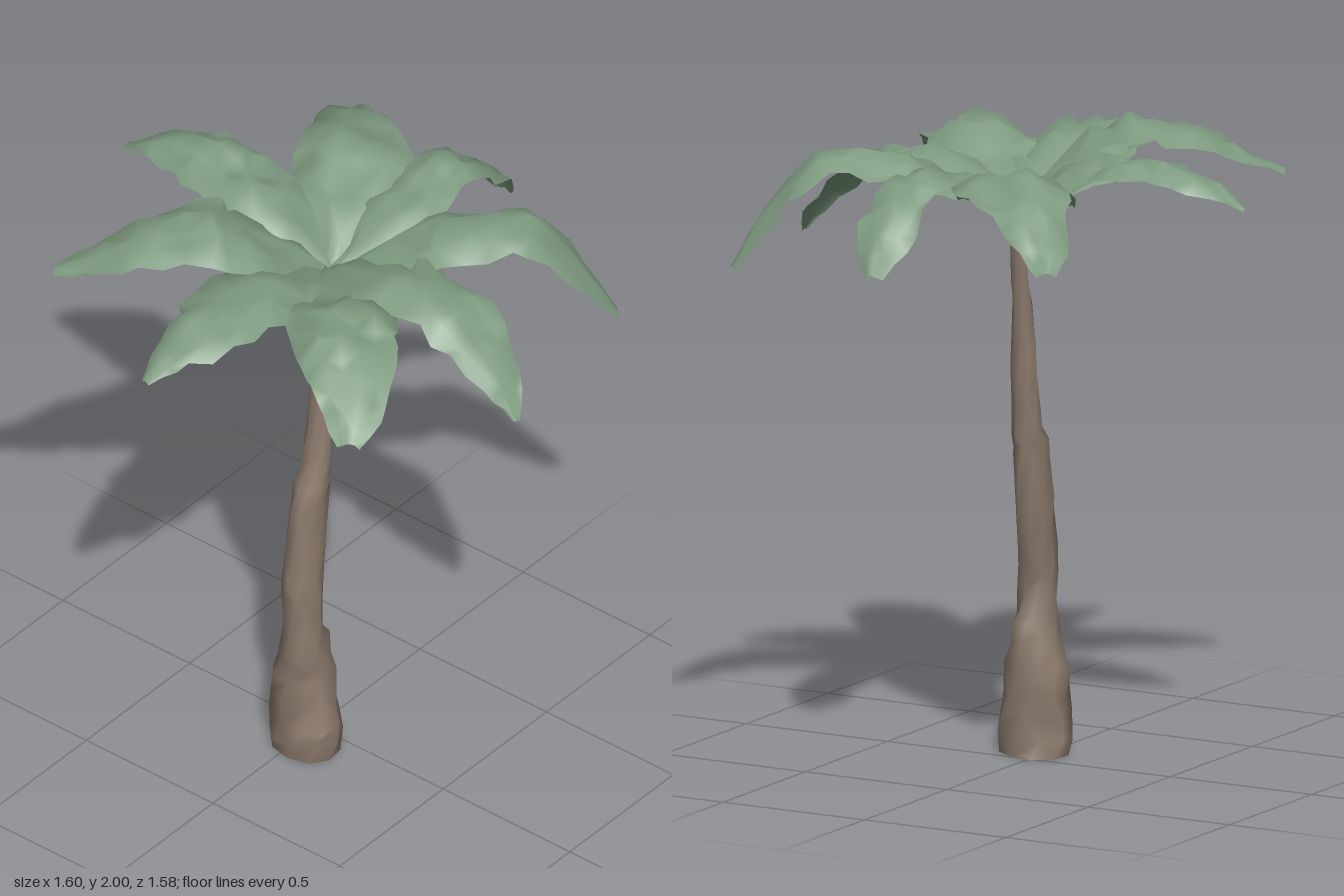
import * as THREE from 'three';

// Small seeded random in -1..1 for the crumpled surfaces
function makeRandom(seed) {
  let s = seed;
  return () => {
    s = (s * 16807) % 2147483647;
    return (s / 2147483647) * 2 - 1;
  };
}

// Skin a grid of points; rows run along the part, columns run across it
function skin(rows, closed) {
  const n = rows[0].length;
  const index = [];
  for (let i = 0; i < rows.length - 1; i++) {
    for (let j = 0; j < (closed ? n : n - 1); j++) {
      const k = (j + 1) % n;
      const a = i * n + j, b = i * n + k, c = a + n, d = b + n;
      if ((i + j) % 2) index.push(a, b, c, b, d, c);
      else index.push(a, b, d, a, d, c);
    }
  }
  const geometry = new THREE.BufferGeometry().setFromPoints(rows.flat());
  geometry.setIndex(index);
  geometry.computeVertexNormals();
  return geometry;
}

// Smooth curves through [x, y, z, a, b]: position plus two extra values
function pathOf(points) {
  const curve = (list) => new THREE.CatmullRomCurve3(list, false, 'catmullrom', 0.5);
  return {
    centre: curve(points.map((p) => new THREE.Vector3(p[0], p[1], p[2]))),
    size: curve(points.map((p) => new THREE.Vector3(p[3], p[4] ?? 0, 0))),
  };
}

// Trunk stations: x, y, z, radius in x, radius in z
const TRUNK = [
  [0.033, 0, 0.092, 0.118, 0.1],
  [0.028, 0.13, 0.09, 0.112, 0.094],
  [0.02, 0.27, 0.088, 0.094, 0.088],
  [0.032, 0.4, 0.094, 0.07, 0.08],
  [0.033, 0.52, 0.108, 0.064, 0.062],
  [0.027, 0.66, 0.092, 0.058, 0.073],
  [0.025, 0.92, 0.066, 0.055, 0.07],
  [0.025, 1.03, 0.036, 0.05, 0.05],
  [0.023, 1.2, 0.013, 0.043, 0.036],
  [0.022, 1.4, -0.003, 0.034, 0.029],
  [0.021, 1.6, -0.028, 0.026, 0.015],
  [0.022, 1.76, -0.042, 0.02, 0.015],
];

// Frond midribs: x, y, z, half width (all start at the hub)
const HUB = [0.02, 1.745, -0.04, 0.05];
const FRONDS = {
  leftFrond: [[0.22, 1.85, -0.03, 0.17], [0.42, 1.88, -0.03, 0.13], [0.6, 1.81, -0.025, 0.125], [0.73, 1.68, -0.01, 0.065], [0.8, 1.57, 0.01, 0.01]],
  frontLeftFrond: [[0.2, 1.86, 0.16, 0.18], [0.34, 1.91, 0.29, 0.165], [0.45, 1.88, 0.385, 0.14], [0.54, 1.8, 0.49, 0.1], [0.595, 1.71, 0.575, 0.035]],
  frontFrond: [[0.02, 1.87, 0.2, 0.18], [0.02, 1.92, 0.38, 0.16], [0.02, 1.91, 0.54, 0.14], [-0.015, 1.85, 0.69, 0.07], [-0.03, 1.78, 0.79, 0.015]],
  frontRightFrond: [[-0.13, 1.92, 0.13, 0.17], [-0.24, 1.98, 0.25, 0.155], [-0.38, 1.94, 0.39, 0.125], [-0.48, 1.87, 0.475, 0.085], [-0.585, 1.81, 0.55, 0.03]],
  rightFrond: [[-0.18, 1.88, -0.06, 0.17], [-0.36, 1.93, -0.07, 0.15], [-0.52, 1.94, -0.08, 0.125], [-0.67, 1.9, -0.07, 0.075], [-0.8, 1.82, -0.06, 0.012]],
  backRightFrond: [[-0.1, 1.87, -0.24, 0.18], [-0.2, 1.92, -0.42, 0.175], [-0.32, 1.88, -0.55, 0.125], [-0.42, 1.8, -0.64, 0.085], [-0.49, 1.71, -0.735, 0.03]],
  backFrond: [[0.07, 1.86, -0.25, 0.14], [0.09, 1.91, -0.42, 0.11], [0.095, 1.91, -0.57, 0.1], [0.095, 1.79, -0.7, 0.095], [0.09, 1.65, -0.79, 0.03]],
  backLeftFrond: [[0.2, 1.86, -0.2, 0.16], [0.35, 1.91, -0.31, 0.13], [0.48, 1.92, -0.42, 0.115], [0.6, 1.78, -0.51, 0.1], [0.7, 1.58, -0.6, 0.03]],
};

function trunkGeometry() {
  const random = makeRandom(77);
  const path = pathOf(TRUNK);
  const steps = 22, sides = 9;
  const rows = [];
  for (let i = 0; i <= steps; i++) {
    const c = path.centre.getPoint(i / steps);
    const r = path.size.getPoint(i / steps);
    const row = [];
    for (let j = 0; j < sides; j++) {
      // Each ring twists a little so the bark ridges spiral
      const angle = (j / sides) * Math.PI * 2 + i * 0.2;
      const bump = 1 + 0.12 * random();
      const lift = i === 0 ? 0 : 0.025 * random();
      row.push(new THREE.Vector3(
        c.x + Math.sin(angle) * r.x * bump,
        Math.max(0, c.y + lift),
        c.z + Math.cos(angle) * r.y * bump));
    }
    rows.push(row);
  }
  // Close the foot with its own ring so the rim stays sharp
  const rim = rows[0].map((p) => p.clone());
  const middle = rim.map(() => new THREE.Vector3(TRUNK[0][0], 0.01, TRUNK[0][2]));
  return [skin(rows, true), skin([middle, rim], true)];
}

function frondGeometry(points, seed) {
  const random = makeRandom(seed);
  const path = pathOf([HUB, ...points]);
  const steps = 13, across = 5;
  const rows = [];
  for (let i = 0; i <= steps; i++) {
    const t = i / steps;
    const c = path.centre.getPoint(t);
    const half = Math.max(0.01, path.size.getPoint(t).x);
    const dir = path.centre.getTangent(t).setY(0).normalize();
    const row = [];
    for (let j = 0; j <= across; j++) {
      const v = (j / across) * 2 - 1;
      const w = v * half * (1 + 0.07 * random());
      // The blade arches over its midrib and is crumpled
      const drop = 0.36 * half * v * v;
      const crumple = 0.18 * half * random();
      const slide = i === steps ? 0 : 0.14 * half * random();
      row.push(new THREE.Vector3(
        c.x - dir.z * w + dir.x * slide,
        c.y - drop + crumple,
        c.z + dir.x * w + dir.z * slide));
    }
    rows.push(row);
  }
  return skin(rows, false);
}

export function createModel() {
  const bark = new THREE.MeshStandardMaterial({ color: 0x8c7a6c });
  bark.name = 'bark brown';
  const leaf = new THREE.MeshStandardMaterial({ color: 0x7f9b81, side: THREE.DoubleSide });
  leaf.name = 'leaf green';

  const model = new THREE.Group();
  model.name = 'palmTree';

  trunkGeometry().forEach((geometry, i) => {
    const part = new THREE.Mesh(geometry, bark);
    part.name = ['trunk', 'trunkFoot'][i];
    model.add(part);
  });

  const crown = new THREE.Group();
  crown.name = 'crown';
  Object.entries(FRONDS).forEach(([name, points], i) => {
    const frond = new THREE.Mesh(frondGeometry(points, 1000 + i * 937), leaf);
    frond.name = name;
    crown.add(frond);
  });
  model.add(crown);
  return model;
}
